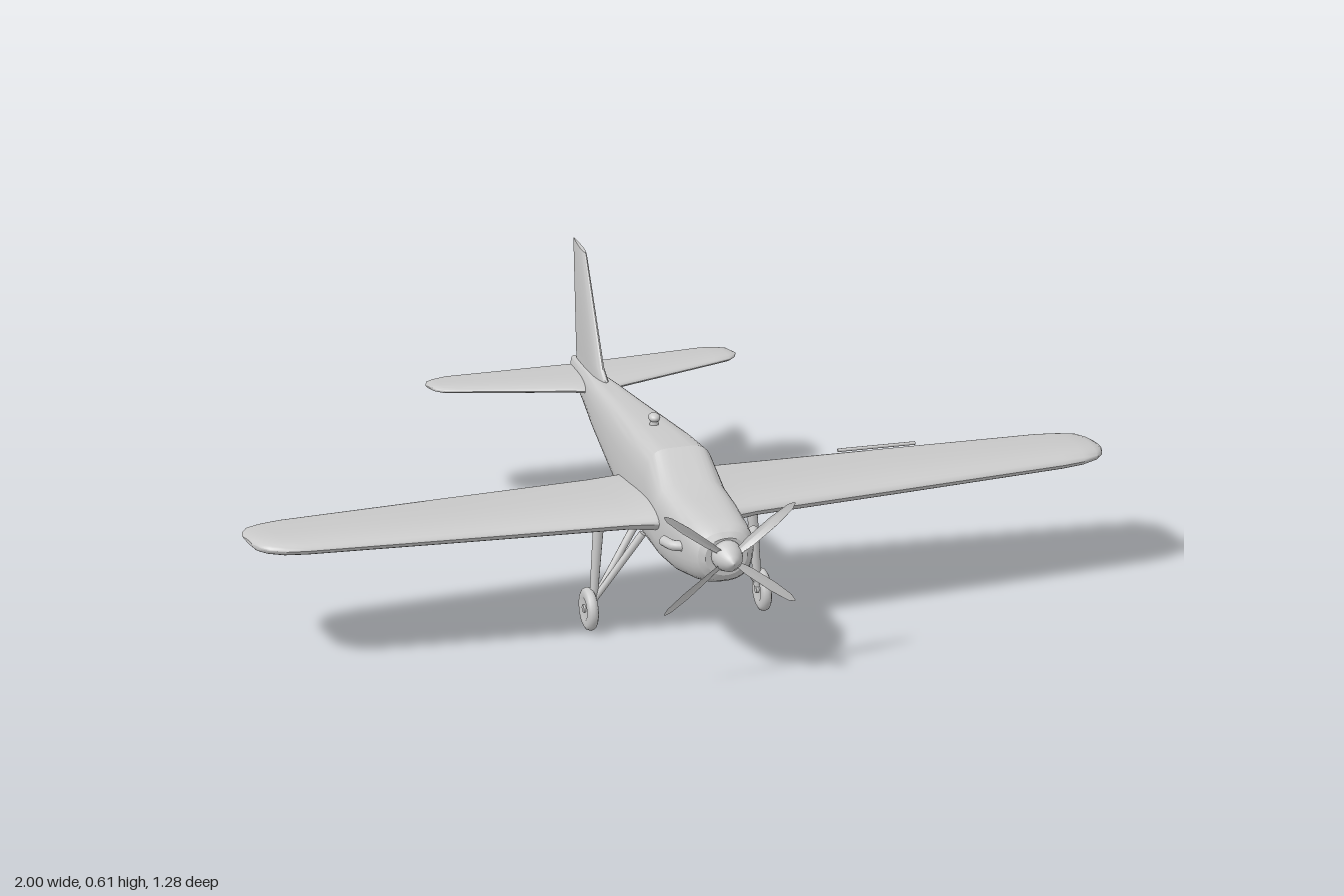
import * as THREE from 'three';
import { toCreasedNormals } from 'three/addons/utils/BufferGeometryUtils.js';

const material = new THREE.MeshStandardMaterial({ color: 0xcccccc });
const SEG = 36;

// Skin a list of rings (arrays of [x, y, z]) and close both ends.
function loft(rings, crease = 0.6) {
  const n = rings[0].length, pos = rings.flat(2), index = [];
  for (let i = 0; i < rings.length - 1; i++) {
    for (let j = 0; j < n; j++) {
      const k = (j + 1) % n, a = i * n + j, b = i * n + k;
      index.push(a, b, b + n, a, b + n, a + n);
    }
  }
  [0, rings.length - 1].forEach((r, end) => {
    const centre = [0, 1, 2].map(c => rings[r].reduce((s, p) => s + p[c], 0) / n);
    const ci = pos.length / 3;
    pos.push(...centre);
    for (let j = 0; j < n; j++) {
      const a = r * n + j, b = r * n + (j + 1) % n;
      if (end) index.push(ci, a, b); else index.push(ci, b, a);
    }
  });
  const g = new THREE.BufferGeometry();
  g.setAttribute('position', new THREE.Float32BufferAttribute(pos, 3));
  g.setIndex(index);
  return toCreasedNormals(g, crease);
}

// Aerofoil ring: blunt leading edge towards +z, thin trailing edge; returns [z, h].
function foil(lead, trail, thick) {
  return Array.from({ length: SEG }, (_, i) => {
    const t = i / SEG * Math.PI * 2, c = Math.cos(t);
    return [(lead + trail) / 2 - (lead - trail) / 2 * c, thick * Math.sin(t) * (0.62 - 0.38 * c)];
  });
}

// Mirrored horizontal surface from stations [x, lead, trail, thickness, y, droop].
function span(stations) {
  const all = [...stations.map(s => [-s[0], ...s.slice(1)]).reverse(), ...stations];
  return loft(all.map(([x, l, t, th, y, droop]) =>
    foil(l, t, th).map(([z, h]) => [x, y + h - droop * (l - z) / (l - t), z])), 0.7);
}

// Round bar between two points.
function bar(a, b, r1, r2) {
  const p = new THREE.Vector3(...a), q = new THREE.Vector3(...b);
  const g = new THREE.CylinderGeometry(r2, r1, p.distanceTo(q), 12);
  g.applyQuaternion(new THREE.Quaternion().setFromUnitVectors(
    new THREE.Vector3(0, 1, 0), q.clone().sub(p).normalize()));
  const m = p.add(q).multiplyScalar(0.5);
  return g.translate(m.x, m.y, m.z);
}

export function createModel() {
  const model = new THREE.Group();
  const add = (name, geometry, parent = model) => {
    const mesh = new THREE.Mesh(geometry, material);
    mesh.name = name;
    parent.add(mesh);
    return mesh;
  };

  // Fuselage stations: z, bottom, top, half width, squareness, narrowing at the top
  const body = [
    [-0.635, 0.275, 0.325, 0.008, 2.5, 0],
    [-0.50, 0.257, 0.345, 0.024, 3, 0.1],
    [-0.37, 0.242, 0.362, 0.042, 3.5, 0.15],
    [-0.20, 0.222, 0.384, 0.060, 4, 0.2],
    [-0.05, 0.206, 0.403, 0.075, 4.5, 0.2],
    [0.08, 0.203, 0.419, 0.087, 5, 0.2],
    [0.205, 0.202, 0.435, 0.092, 5, 0.22],
    [0.30, 0.203, 0.387, 0.092, 4.5, 0.15],
    [0.40, 0.211, 0.385, 0.088, 4, 0.1],
    [0.50, 0.230, 0.384, 0.080, 3.2, 0.05],
    [0.545, 0.242, 0.381, 0.074, 2.8, 0],
    [0.568, 0.254, 0.372, 0.064, 2.5, 0],
    [0.578, 0.270, 0.360, 0.050, 2.2, 0]
  ];
  add('fuselage', loft(body.map(([z, lo, hi, w, n, taper]) =>
    Array.from({ length: SEG }, (_, i) => {
      const t = (i + 0.5) / SEG * Math.PI * 2;
      const sup = v => Math.sign(v) * Math.abs(v) ** (2 / n);
      const u = sup(Math.cos(t)), v = sup(Math.sin(t));
      const narrow = v > 0 ? 1 - taper * v : 1 + 0.1 * v;
      return [u * w * narrow, (lo + hi) / 2 + v * (hi - lo) / 2, z];
    })), 0.45));

  // Wing with thicker root and rounded tips
  add('wing', span([
    [0.06, 0.34, -0.04, 0.048, 0.308, 0.03],
    [0.10, 0.335, -0.035, 0.043, 0.308, 0.03],
    [0.15, 0.325, -0.03, 0.036, 0.308, 0.03],
    [0.50, 0.297, -0.005, 0.032, 0.308, 0.025],
    [0.89, 0.264, 0.023, 0.027, 0.308, 0.02],
    [0.94, 0.255, 0.032, 0.025, 0.308, 0.02],
    [0.975, 0.238, 0.05, 0.021, 0.308, 0.018],
    [0.992, 0.215, 0.075, 0.015, 0.306, 0.015],
    [1.0, 0.185, 0.105, 0.006, 0.304, 0.01]
  ]));

  // Tailplane
  add('tailplane', span([
    [0.01, -0.43, -0.635, 0.018, 0.318, 0.014],
    [0.06, -0.448, -0.637, 0.016, 0.318, 0.014],
    [0.30, -0.515, -0.64, 0.012, 0.318, 0.012],
    [0.335, -0.528, -0.634, 0.011, 0.317, 0.012],
    [0.352, -0.545, -0.622, 0.008, 0.316, 0.01],
    [0.36, -0.565, -0.600, 0.003, 0.314, 0.008]
  ]));

  // Fin and rudder: y, lead, trail, thickness
  add('fin', loft([
    [0.30, -0.36, -0.613, 0.016],
    [0.362, -0.372, -0.617, 0.016],
    [0.38, -0.405, -0.619, 0.015],
    [0.605, -0.537, -0.638, 0.008],
    [0.612, -0.543, -0.637, 0.006]
  ].map(([y, l, t, th]) => foil(l, t, th).map(([z, h]) => [-h, y, z])), 0.7));

  // Spinner and four-bladed propeller
  const propeller = new THREE.Group();
  propeller.name = 'propeller';
  propeller.position.set(0, 0.32, 0);
  model.add(propeller);
  const nose = [[0, 0.565], [0.036, 0.565], [0.036, 0.59], [0.029, 0.61], [0.016, 0.63], [0, 0.64]];
  add('spinner', new THREE.LatheGeometry(nose.map(p => new THREE.Vector2(...p)), 28)
    .rotateX(Math.PI / 2), propeller);
  // Blade stations: radius, half chord, thickness, pitch
  const blade = loft([
    [0.015, 0.007, 0.007, 1.0],
    [0.06, 0.012, 0.005, 0.7],
    [0.13, 0.012, 0.003, 0.45],
    [0.18, 0.008, 0.002, 0.35],
    [0.195, 0.002, 0.001, 0.3]
  ].map(([r, c, th, pitch]) => foil(c, -c, th).map(([z, h]) => [
    -h * Math.sin(pitch) + z * Math.cos(pitch), r, 0.604 + z * Math.sin(pitch) + h * Math.cos(pitch)
  ]).reverse()));
  const lean = 0.91;
  [lean, -lean, Math.PI - lean, Math.PI + lean].forEach(a => {
    add('propellerBlade', blade, propeller).rotation.z = a;
  });

  for (const s of [1, -1]) {
    const side = s > 0 ? 'left' : 'right';

    // Exhaust pipe curving out of the cowling
    const pipe = new THREE.CatmullRomCurve3([
      new THREE.Vector3(s * 0.07, 0.312, 0.485),
      new THREE.Vector3(s * 0.094, 0.312, 0.472),
      new THREE.Vector3(s * 0.106, 0.31, 0.435)
    ]);
    add(side + 'Exhaust', new THREE.TubeGeometry(pipe, 10, 0.012, 12)).material =
      Object.assign(material.clone(), { side: THREE.DoubleSide });

    // Landing gear: upright strut plus a V of braces to the belly
    const gear = new THREE.Group();
    gear.name = side + 'LandingGear';
    model.add(gear);
    add('strut', bar([s * 0.178, 0.29, 0.17], [s * 0.194, 0.06, 0.172], 0.013, 0.009), gear);
    for (const z of [0.2, 0.143]) {
      add('brace', bar([s * 0.085, 0.232, z], [s * 0.192, 0.07, 0.172], 0.009, 0.007), gear);
    }
    const tyre = [[0, -0.009], [0.022, -0.009], [0.027, -0.012], [0.04, -0.012], [0.047, -0.008],
      [0.05, 0], [0.047, 0.008], [0.04, 0.012], [0.027, 0.012], [0.022, 0.009], [0, 0.009]];
    add('wheel', new THREE.LatheGeometry(tyre.map(p => new THREE.Vector2(...p)), 32)
      .rotateZ(Math.PI / 2).translate(s * 0.204, 0.05, 0.172), gear);
    add('axle', bar([s * 0.188, 0.052, 0.172], [s * 0.218, 0.052, 0.172], 0.009, 0.009), gear);
  }

  // Beacon on the cabin roof
  add('beaconBase', new THREE.CylinderGeometry(0.009, 0.011, 0.02, 16).translate(0, 0.413, 0.003));
  add('beacon', new THREE.SphereGeometry(0.017, 20, 12).scale(0.8, 0.6, 1).translate(0, 0.427, 0.003));

  // Small probes on the left wing and cabin side
  add('wingProbe', bar([0.43, 0.298, 0.01], [0.61, 0.298, 0.018], 0.004, 0.004));
  add('cabinStep', bar([0.075, 0.285, 0.085], [0.108, 0.28, 0.085], 0.006, 0.006));
  return model;
}
